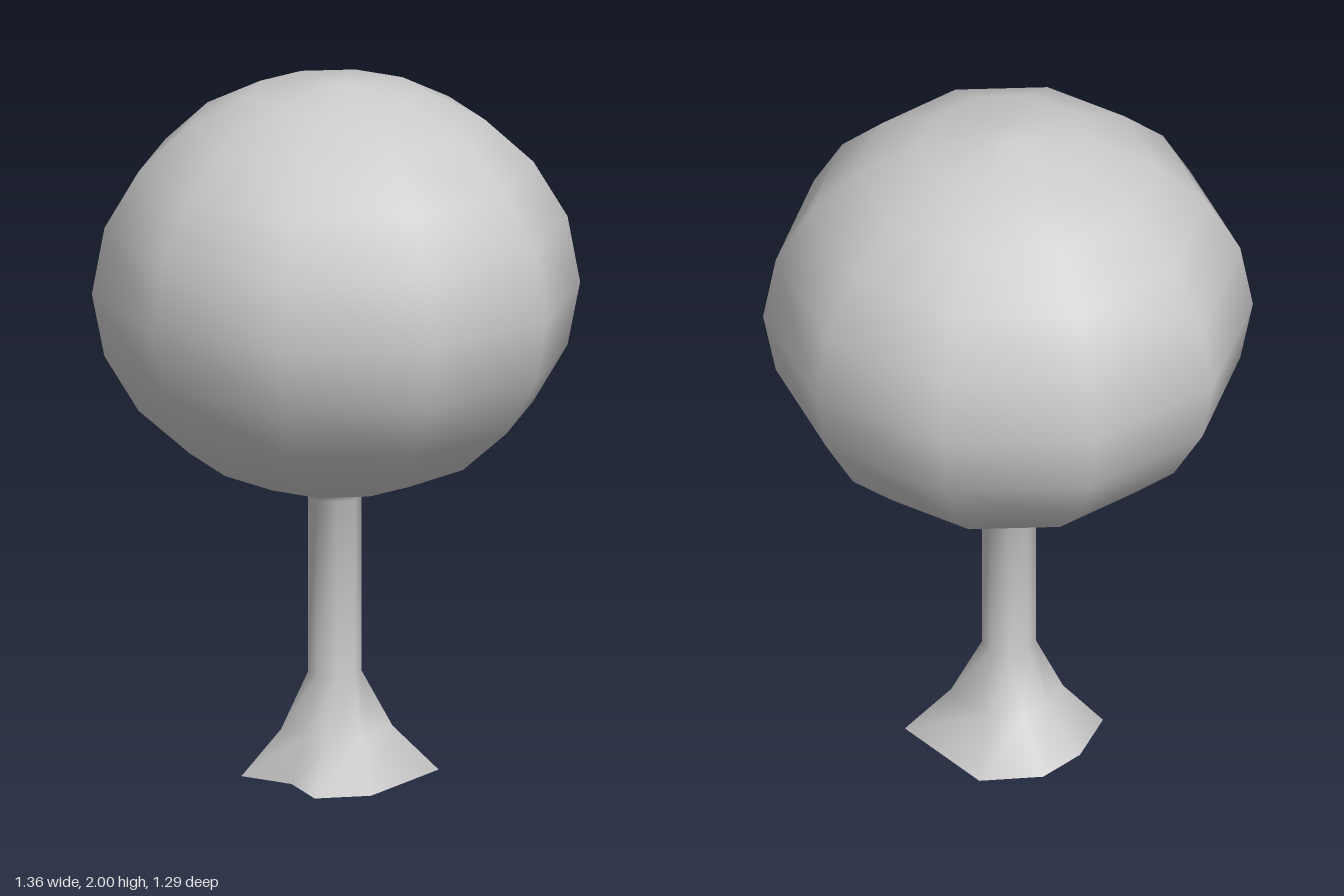
import * as THREE from 'three';

const material = new THREE.MeshStandardMaterial({ color: 0xcccccc, side: THREE.DoubleSide });

// Skin a stack of equal-length rings of [x, y, z] with smooth normals
function skin(rings) {
  const n = rings[0].length;
  const index = [];
  for (let r = 0; r < rings.length - 1; r++) {
    for (let i = 0; i < n; i++) {
      const a = r * n + i, b = r * n + (i + 1) % n;
      index.push(a, a + n, b, b, a + n, b + n);
    }
  }
  const geometry = new THREE.BufferGeometry();
  geometry.setAttribute('position', new THREE.Float32BufferAttribute(rings.flat(2), 3));
  geometry.setIndex(index);
  geometry.computeVertexNormals();
  return geometry;
}

export function createModel() {
  const tree = new THREE.Group();
  tree.name = 'tree';

  // Ball-shaped crown with ten sides, a corner on each side of x
  const profile = [
    [0, 0.82], [0.08, 0.82], [0.235, 0.86], [0.41, 0.935], [0.55, 1.06], [0.645, 1.22], [0.68, 1.4],
    [0.645, 1.59], [0.55, 1.75], [0.415, 1.875], [0.245, 1.962], [0.04, 2], [0, 2],
  ].map(([r, y]) => new THREE.Vector2(r, y));
  const crown = new THREE.Mesh(new THREE.LatheGeometry(profile, 10, Math.PI / 2), material);
  crown.name = 'crown';
  tree.add(crown);

  // Uneven root outline on the ground, as [x, z]
  const roots = [
    [0.2, 0.146], [0.08, 0.25], [-0.05, 0.157], [-0.21, 0.16],
    [-0.25, -0.016], [-0.223, -0.161], [-0.086, -0.275], [0.226, -0.177],
  ];

  // Rings pass from the root outline (spread 1) to a regular octagon (spread 0)
  const ring = (y, radius, spread) => roots.map(([x, z], i) => {
    const angle = (i / 8) * Math.PI * 2 + 0.18;
    return [
      THREE.MathUtils.lerp(-0.01 + Math.cos(angle) * radius, x, spread),
      y,
      THREE.MathUtils.lerp(-0.01 + Math.sin(angle) * radius, z, spread),
    ];
  });

  // Trunk with flared roots, widening again where it meets the crown
  const trunk = new THREE.Mesh(skin([
    ring(0, 0.075, 1), ring(0.13, 0.075, 0.4), ring(0.29, 0.075, 0),
    ring(0.8, 0.075, 0), ring(0.85, 0.18, 0),
  ]), material);
  trunk.name = 'trunk';
  tree.add(trunk);

  // Flat underside of the roots
  const outline = new THREE.Shape(roots.map(([x, z]) => new THREE.Vector2(x, z)));
  const underside = new THREE.Mesh(new THREE.ShapeGeometry(outline).rotateX(Math.PI / 2), material);
  underside.name = 'trunkUnderside';
  tree.add(underside);

  return tree;
}
